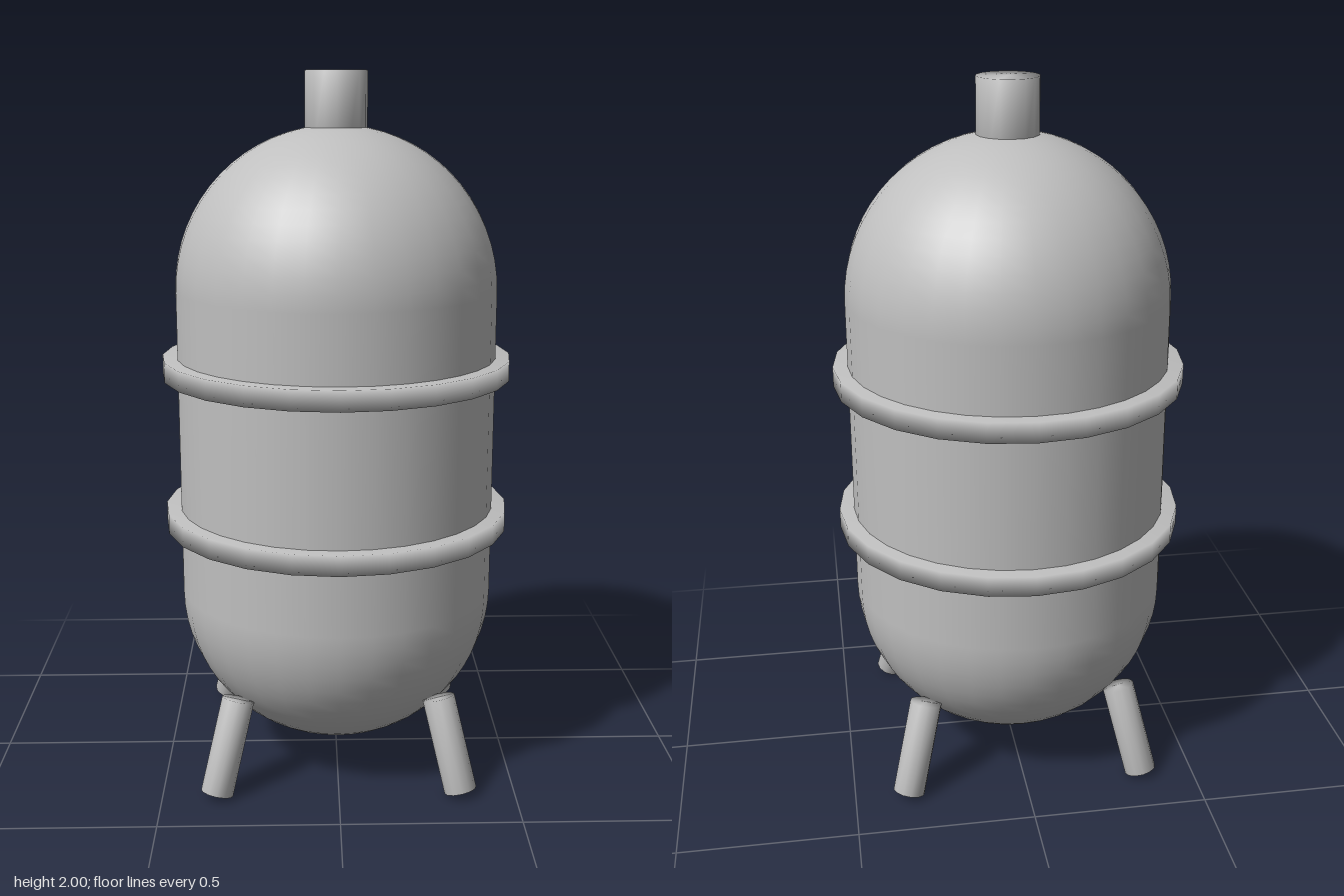
import * as THREE from 'three';
import { mergeVertices } from 'three/addons/utils/BufferGeometryUtils.js';

// Closed cylinder whose normals run smoothly over its rims
function softCylinder(radius, height, sides) {
  const geometry = new THREE.CylinderGeometry(radius, radius, height, sides);
  geometry.deleteAttribute('normal');
  geometry.deleteAttribute('uv');
  const merged = mergeVertices(geometry, 1e-4);
  merged.computeVertexNormals();
  return merged;
}

export function createModel() {
  const model = new THREE.Group();
  model.name = 'tank';
  const metal = new THREE.MeshStandardMaterial({ color: 0xbfbfbf });
  metal.name = 'grey metal';

  const add = (name, geometry, x, y, z) => {
    const mesh = new THREE.Mesh(geometry, metal);
    mesh.name = name;
    mesh.position.set(x, y, z);
    model.add(mesh);
    return mesh;
  };

  // Tank body: straight wall with domed ends
  const radius = 0.455, bottom = 0.07, top = 1.855;
  const profile = [];
  const steps = 16;
  for (let i = 0; i <= steps; i++) {
    const a = (i / steps) * Math.PI / 2;
    profile.push(new THREE.Vector2(radius * Math.sin(a), bottom + radius * (1 - Math.cos(a))));
  }
  for (let i = steps; i >= 0; i--) {
    const a = (i / steps) * Math.PI / 2;
    profile.push(new THREE.Vector2(radius * Math.sin(a), top - radius * (1 - Math.cos(a))));
  }
  add('body', new THREE.LatheGeometry(profile, 32), 0, 0, 0);

  // Bands around the wall
  const band = softCylinder(0.497, 0.057, 24);
  add('lowerBand', band, 0, 0.743, 0);
  add('upperBand', band, 0, 1.183, 0);

  // Outlet on the upper dome
  add('outlet', softCylinder(0.087, 0.2, 16), 0, 1.9, 0);

  // Four splayed legs
  const leg = softCylinder(0.046, 0.272, 12);
  const up = new THREE.Vector3(0, 1, 0);
  for (const sx of [-1, 1]) {
    for (const sz of [-1, 1]) {
      const foot = new THREE.Vector3(0.345 * sx, 0.015, 0.345 * sz);
      const head = new THREE.Vector3(0.284 * sx, 0.273, 0.284 * sz);
      const mid = foot.clone().add(head).multiplyScalar(0.5);
      const name = (sz > 0 ? 'front' : 'back') + (sx > 0 ? 'Left' : 'Right') + 'Leg';
      const mesh = add(name, leg, mid.x, mid.y, mid.z);
      mesh.quaternion.setFromUnitVectors(up, head.sub(foot).normalize());
    }
  }
  return model;
}
